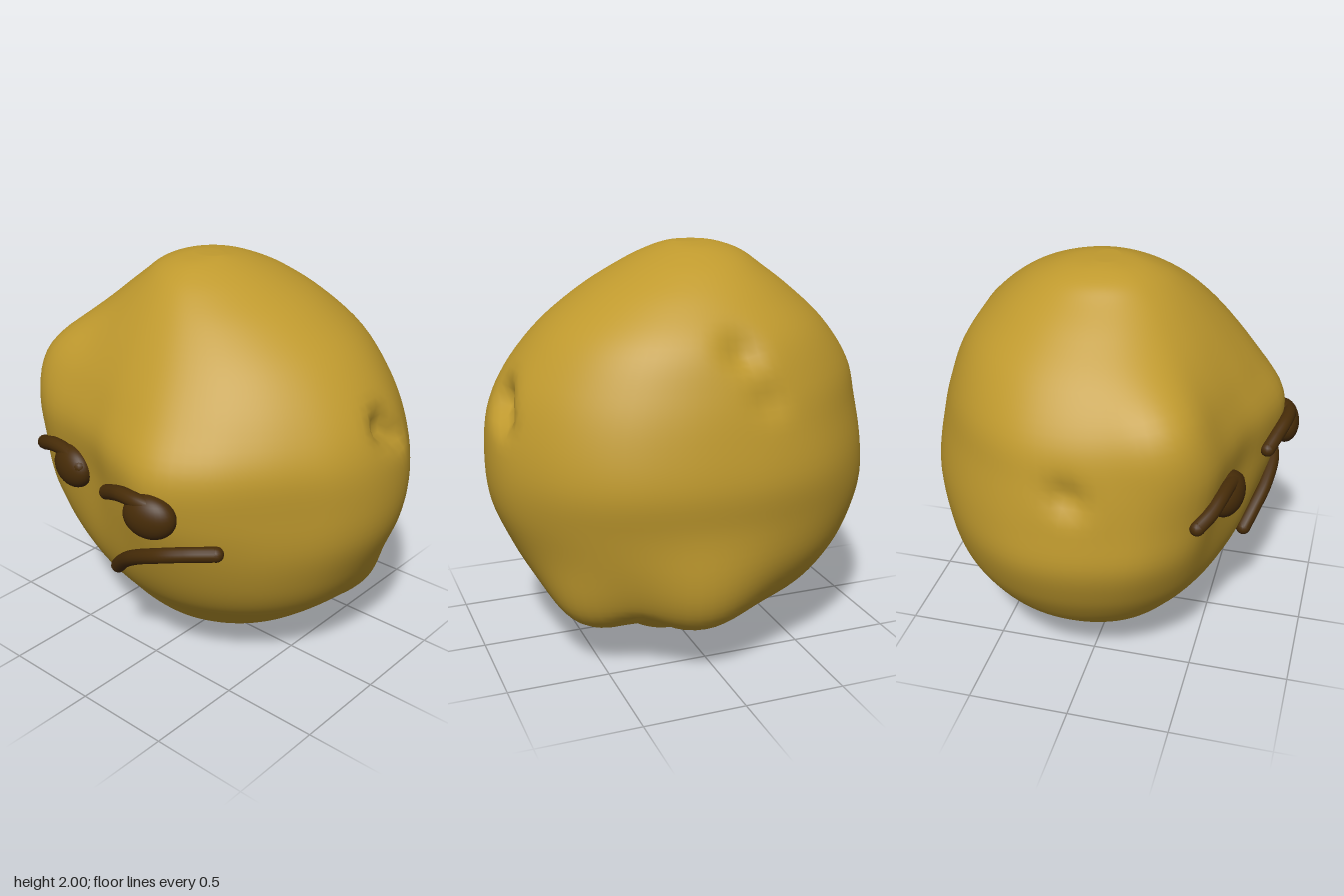
import * as THREE from 'three';

// Cross-sections from top to bottom: y, then reach toward -x, +x, -z, +z
const SECTIONS = [
  [2.0, 0.17, -0.01, 0.08, 0.03], [1.985, 0.25, 0.05, 0.2, 0.13], [1.95, 0.34, 0.15, 0.31, 0.22],
  [1.89, 0.42, 0.28, 0.43, 0.31], [1.78, 0.56, 0.48, 0.57, 0.42], [1.62, 0.73, 0.69, 0.71, 0.55],
  [1.42, 0.87, 0.85, 0.79, 0.69], [1.22, 0.92, 0.935, 0.84, 0.8], [1.0, 0.95, 0.96, 0.87, 0.79],
  [0.8, 0.96, 0.94, 0.845, 0.745], [0.6, 0.89, 0.86, 0.815, 0.68], [0.45, 0.8, 0.775, 0.75, 0.6],
  [0.33, 0.7, 0.67, 0.65, 0.5], [0.22, 0.57, 0.53, 0.49, 0.4], [0.13, 0.44, 0.39, 0.35, 0.28],
  [0.06, 0.29, 0.28, 0.24, 0.16], [0.02, 0.12, 0.2, 0.18, 0.07], [0.0, 0.04, 0.13, 0.13, 0.02],
];
// Plan outline factor every 15 degrees, from +x through +z: slanted front with a soft ridge
const PLAN = [1, 0.97, 0.94, 0.95, 1, 1.04, 0.95, 0.88, 0.91, 1.01, 1.03, 1,
  1, 1.02, 1.02, 1.02, 1.02, 1.01, 1, 1.01, 1.03, 1.03, 1.02, 1.02];
// Dents (positive) and lumps (negative): x, y, z, radius, depth
const DENTS = [
  [0.92, 1.34, -0.15, 0.08, 0.1], [0.9, 1.25, -0.24, 0.06, 0.06], [-0.95, 1.19, 0, 0.08, 0.06],
  [-0.08, 1.6, -0.72, 0.09, 0.05], [-0.18, 1.38, -0.8, 0.08, 0.025],
  [-0.74, 1.5, 0.48, 0.26, -0.11],
  [0.15, 0.15, -0.42, 0.1, 0.1], [0.33, 0.27, -0.55, 0.09, 0.07],
  [0.56, 0.34, -0.42, 0.23, -0.1], [0.1, 0.38, -0.7, 0.26, -0.1],
];

function spline(a, b, c, d, t) {
  return b + 0.5 * t * (c - a + t * (2 * a - 5 * b + 4 * c - d + t * (3 * (b - c) + d - a)));
}

function sectionAt(t) {
  const last = SECTIONS.length - 1;
  const i = Math.min(Math.floor(t), last - 1);
  const row = (k) => SECTIONS[Math.max(0, Math.min(last, k))];
  return SECTIONS[0].map((_, k) => spline(row(i - 1)[k], row(i)[k], row(i + 1)[k], row(i + 2)[k], t - i));
}

function pointOn([y, left, right, back, front], angle) {
  const s = (angle / (Math.PI * 2)) * 24;
  const i = Math.floor(s);
  const p = (k) => PLAN[(k + 24) % 24];
  const plan = spline(p(i - 1), p(i), p(i + 1), p(i + 2), s - i);
  const weight = 0.15 + 0.85 * Math.exp(-(((y - 1.05) / 0.43) ** 2));
  const f = 1 + (plan - 1) * weight;
  return new THREE.Vector3(
    (right - left) / 2 + (f * Math.cos(angle) * (right + left)) / 2,
    y,
    (front - back) / 2 + (f * Math.sin(angle) * (front + back)) / 2,
  );
}

// Depth of the front surface at a given x and y
function frontZ(x, y) {
  let lo = 0, hi = SECTIONS.length - 1;
  for (let k = 0; k < 30; k++) {
    const mid = (lo + hi) / 2;
    if (sectionAt(mid)[0] > y) lo = mid; else hi = mid;
  }
  const section = sectionAt(lo);
  let a = 0, b = Math.PI;
  for (let k = 0; k < 30; k++) {
    const mid = (a + b) / 2;
    if (pointOn(section, mid).x > x) a = mid; else b = mid;
  }
  return pointOn(section, a).z;
}

function bodyGeometry() {
  const rows = 85, segs = 96, points = [], index = [];
  for (let i = 0; i <= rows; i++) {
    const section = sectionAt((i / rows) * (SECTIONS.length - 1));
    for (let j = 0; j < segs; j++) points.push(pointOn(section, (j / segs) * Math.PI * 2));
  }
  const top = points.length, bottom = top + 1;
  points.push(new THREE.Vector3(-0.09, 2, -0.025), new THREE.Vector3(0.045, 0, -0.055));
  const center = new THREE.Vector3(0, 1, 0);
  for (const p of points) {
    const start = p.clone();
    const inward = center.clone().sub(p).normalize();
    for (const [x, y, z, radius, depth] of DENTS) {
      const d2 = start.distanceToSquared(new THREE.Vector3(x, y, z));
      p.addScaledVector(inward, depth * Math.exp(-d2 / (radius * radius)));
    }
  }
  for (let j = 0; j < segs; j++) {
    const next = (j + 1) % segs;
    index.push(top, next, j, bottom, rows * segs + j, rows * segs + next);
    for (let i = 0; i < rows; i++) {
      const a = i * segs + j, b = i * segs + next;
      index.push(a, b, a + segs, b, b + segs, a + segs);
    }
  }
  const geometry = new THREE.BufferGeometry().setFromPoints(points);
  geometry.setIndex(index);
  geometry.computeVertexNormals();
  return geometry;
}

// Rounded stroke lying on the front surface
function stroke(name, points, radius, lift, material) {
  const group = new THREE.Group();
  group.name = name;
  const path = points.map(([x, y]) => new THREE.Vector3(x, y, frontZ(x, y) + lift));
  const curve = new THREE.CatmullRomCurve3(path);
  group.add(new THREE.Mesh(new THREE.TubeGeometry(curve, 40, radius, 14), material));
  for (const end of [path[0], path[path.length - 1]]) {
    const cap = new THREE.Mesh(new THREE.SphereGeometry(radius, 14, 10), material);
    cap.position.copy(end);
    group.add(cap);
  }
  group.children.forEach((m) => { m.name = name + 'Part'; });
  return group;
}

// Half-closed eye: sideways pupil under a drooping lid
function eye(name, x, y, material) {
  const group = new THREE.Group();
  group.name = name;
  const lid = [[-0.315, 0], [-0.24, 0.035], [-0.15, 0.066], [-0.05, 0.072], [0.03, 0.057], [0.08, 0.03]];
  group.add(stroke(name + 'Lid', lid.map(([dx, dy]) => [x + dx, y + dy]), 0.037, 0.025, material));
  const pupil = new THREE.Mesh(new THREE.SphereGeometry(1, 32, 20), material);
  pupil.name = name + 'Pupil';
  pupil.scale.set(0.133, 0.108, 0.078);
  pupil.position.set(x, y, frontZ(x, y) + 0.014);
  pupil.rotation.y = -Math.atan((frontZ(x + 0.1, y) - frontZ(x - 0.1, y)) / 0.2);
  group.add(pupil);
  return group;
}

export function createModel() {
  const golden = new THREE.MeshStandardMaterial({ color: 0xc09a2e });
  golden.name = 'golden skin';
  const brown = new THREE.MeshStandardMaterial({ color: 0x472c08 });
  brown.name = 'dark brown';

  const model = new THREE.Group();
  model.name = 'grumpyLump';
  const body = new THREE.Mesh(bodyGeometry(), golden);
  body.name = 'body';
  model.add(body);
  model.add(eye('rightEye', -0.405, 0.997, brown), eye('leftEye', 0.29, 1.035, brown));
  const mouth = [[-0.065, 0.578], [0.01, 0.65], [0.13, 0.735], [0.3, 0.815], [0.42, 0.845], [0.535, 0.857]];
  model.add(stroke('mouth', mouth, 0.037, 0.03, brown));
  return model;
}
